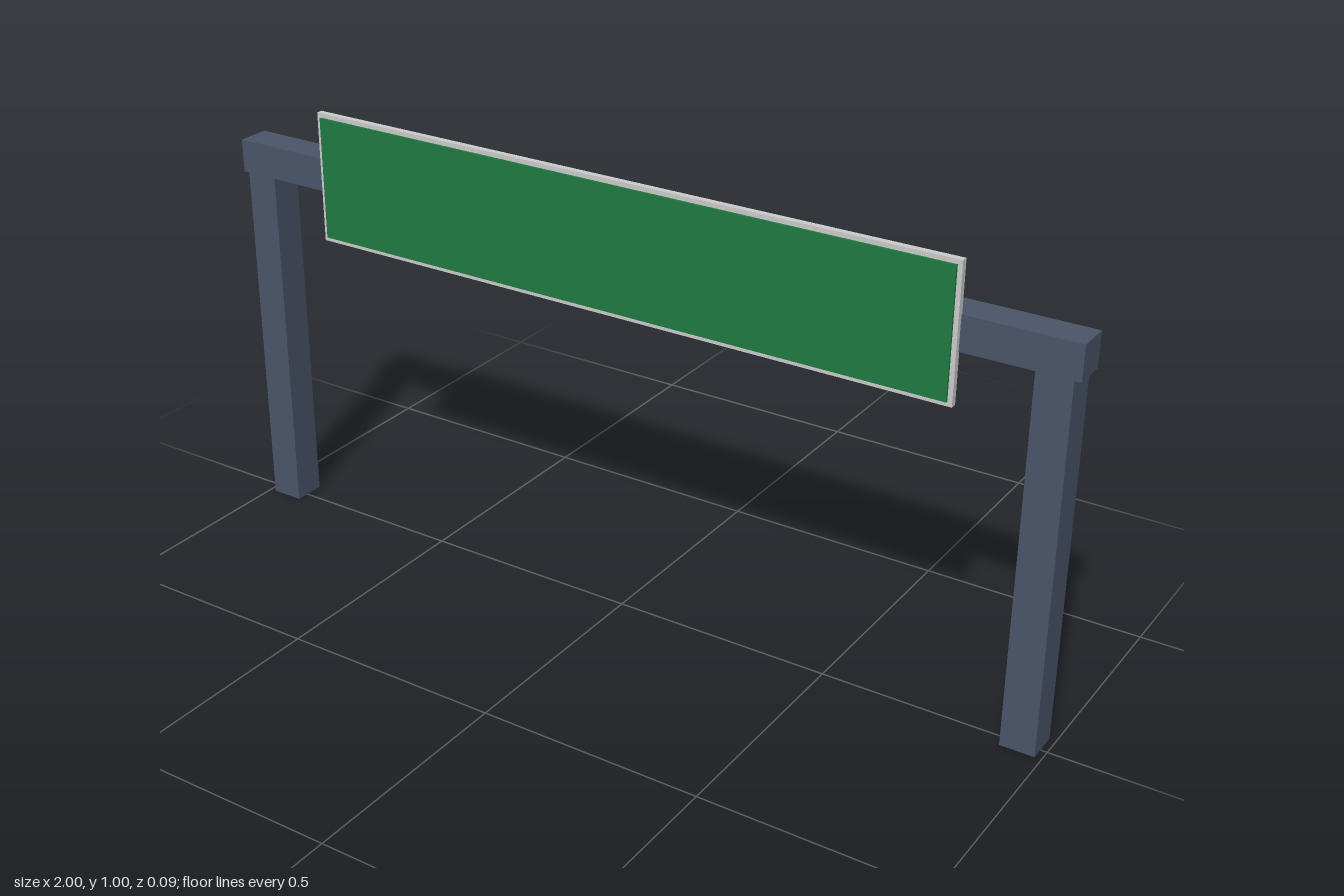
import * as THREE from 'three';

export function createModel() {
  const group = new THREE.Group();
  const steel = new THREE.MeshStandardMaterial({ color: 0x4a5568 });
  const grey = new THREE.MeshStandardMaterial({ color: 0xcccccc });
  const green = new THREE.MeshStandardMaterial({ color: 0x1f7a42 });

  // Box given by its size and centre
  function addBox(name, material, [w, h, d], [x, y, z]) {
    const mesh = new THREE.Mesh(new THREE.BoxGeometry(w, h, d), material);
    mesh.name = name;
    mesh.position.set(x, y, z);
    group.add(mesh);
  }

  // Gantry: two posts under a crossbeam
  const depth = 0.074, gantryZ = -0.008, postHeight = 0.815, beamHeight = 0.075;
  for (const [name, side] of [['leftPost', 1], ['rightPost', -1]]) {
    addBox(name, steel, [0.075, postHeight, depth], [side * 0.948, postHeight / 2, gantryZ]);
  }
  addBox('crossbeam', steel, [2, beamHeight, depth], [0, postHeight + beamHeight / 2, gantryZ]);

  // Sign: grey backing board with a slightly smaller green face
  addBox('signBacking', grey, [1.52, 0.295, 0.014], [0, 0.8525, 0.033]);
  addBox('signFace', green, [1.5, 0.275, 0.006], [0, 0.8525, 0.042]);

  return group;
}
